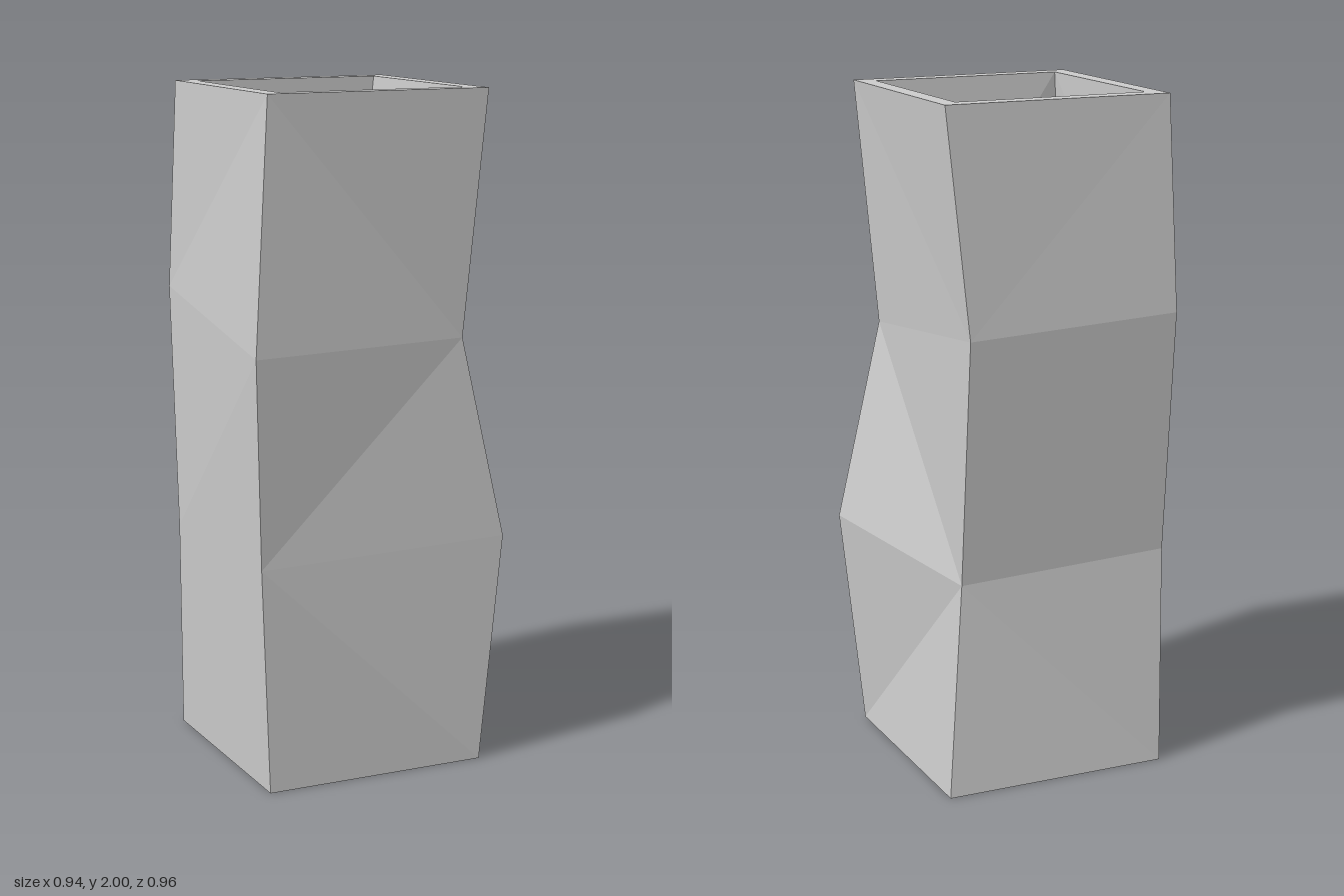
import * as THREE from 'three';

// Four corners per ring, counterclockwise from above: front, right, back, left.
const endOuter = [[0.195, 0.413], [0.455, -0.22], [-0.178, -0.483], [-0.44, 0.147]];
const endInner = [[0.167, 0.343], [0.387, -0.193], [-0.148, -0.414], [-0.37, 0.122]];
const ring = (corners, heights) => corners.map(([x, z], i) => new THREE.Vector3(x, heights[i], z));
const flat = (y) => [y, y, y, y];
const lowHeights = [0.67, 0.68, 0.62, 0.65];
const highHeights = [1.28, 1.28, 1.35, 1.38];

const outer = [
  ring(endOuter, flat(0)),
  ring([[0.195, 0.445], [0.47, -0.3], [-0.148, -0.4], [-0.405, 0.187]], lowHeights),
  ring([[0.212, 0.48], [0.395, -0.19], [-0.222, -0.435], [-0.475, 0.15]], highHeights),
  ring(endOuter, flat(2)),
];
const inner = [
  ring(endInner, flat(0)),
  ring([[0.165, 0.373], [0.395, -0.245], [-0.121, -0.345], [-0.335, 0.14]], lowHeights),
  ring([[0.182, 0.405], [0.324, -0.141], [-0.187, -0.365], [-0.4, 0.125]], highHeights),
  ring(endInner, flat(2)),
];

// Fold direction of each side, from the bottom band to the top:
// 1 rises towards the next corner, 0 falls towards it.
const folds = [[0, 1, 0], [1, 0, 0], [0, 1, 1], [0, 1, 1]];

function meshFrom(name, triangles) {
  const geometry = new THREE.BufferGeometry().setFromPoints(triangles);
  geometry.computeVertexNormals();
  const material = new THREE.MeshStandardMaterial({ color: 0xcccccc, flatShading: true });
  const mesh = new THREE.Mesh(geometry, material);
  mesh.name = name;
  return mesh;
}

// Folded square tube through a stack of rings
function wall(name, rings, inward) {
  const points = [];
  for (let side = 0; side < 4; side++) {
    const next = (side + 1) % 4;
    for (let band = 0; band < 3; band++) {
      const a = rings[band][side], b = rings[band][next];
      const c = rings[band + 1][next], d = rings[band + 1][side];
      const tris = folds[side][band] ? [[a, b, c], [a, c, d]] : [[a, b, d], [b, c, d]];
      for (const [p, q, r] of tris) points.push(...(inward ? [p, r, q] : [p, q, r]));
    }
  }
  return meshFrom(name, points);
}

// Flat rim joining the outer and inner walls
function rim(name, out, inn, up) {
  const points = [];
  for (let i = 0; i < 4; i++) {
    const n = (i + 1) % 4;
    for (const [p, q, r] of [[out[i], out[n], inn[n]], [out[i], inn[n], inn[i]]]) {
      points.push(...(up ? [p, q, r] : [p, r, q]));
    }
  }
  return meshFrom(name, points);
}

export function createModel() {
  const group = new THREE.Group();
  group.name = 'foldedSquareTube';
  group.add(
    wall('outerWall', outer, false),
    wall('innerWall', inner, true),
    rim('topRim', outer[3], inner[3], true),
    rim('bottomRim', outer[0], inner[0], false),
  );
  return group;
}
